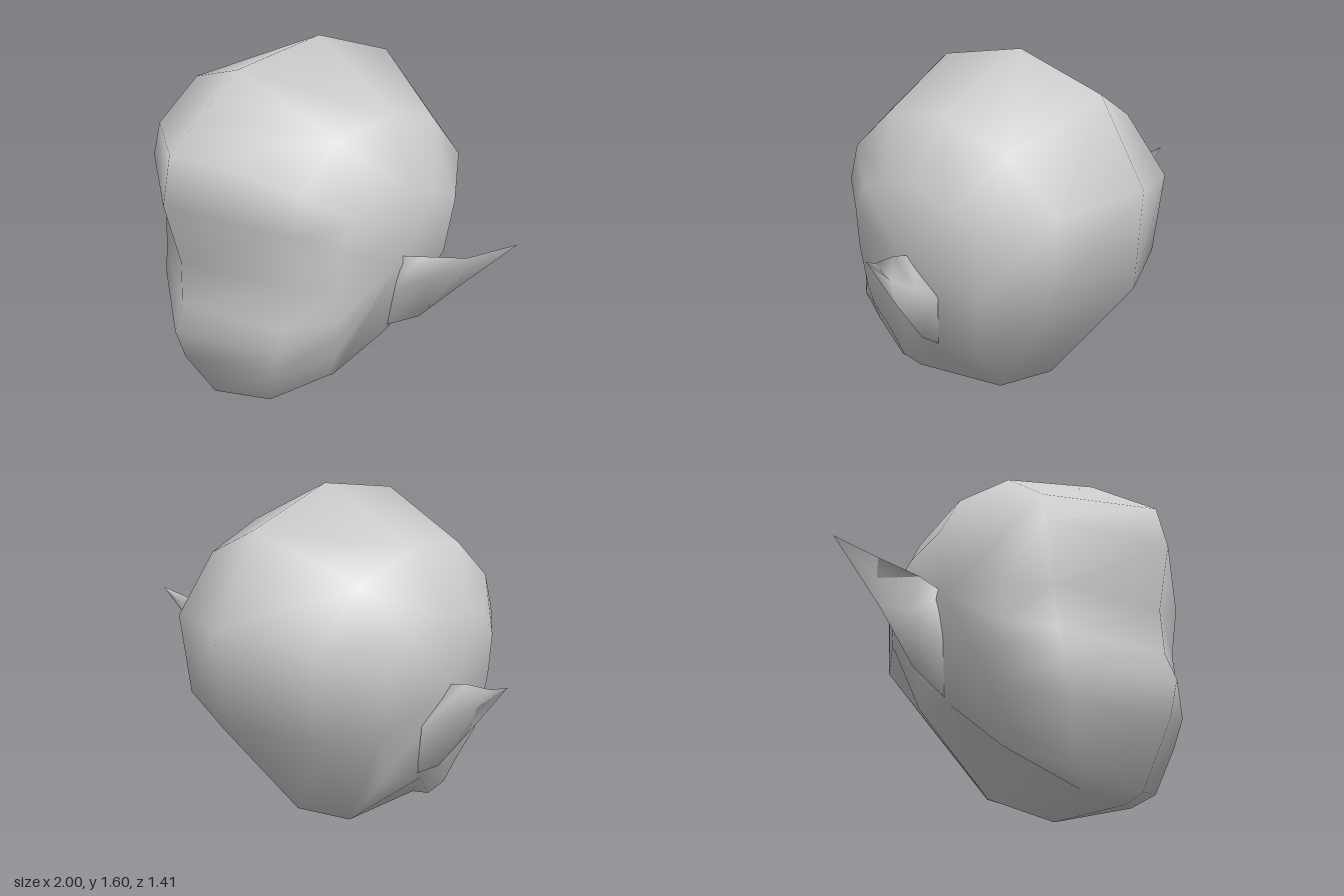
import * as THREE from 'three';
import { mergeVertices } from 'three/addons/utils/BufferGeometryUtils.js';

const skin = new THREE.MeshStandardMaterial({ color: 0xcccccc, side: THREE.DoubleSide });
skin.name = 'plainGrey';

// Joins closed cross-sections, ordered from -x to +x, into one smooth skin
function loft(sections, skip = () => false) {
  const pos = [];
  for (let k = 0; k < sections.length - 1; k++) {
    const p = sections[k], q = sections[k + 1], n = p.length;
    for (let i = 0; i < n; i++) {
      if (skip(k, i)) continue;
      const j = (i + 1) % n;
      for (const tri of [[p[i], q[i], q[j]], [p[i], q[j], p[j]]]) {
        const [a, b, c] = tri.map((v) => v.join());
        if (a !== b && b !== c && a !== c) pos.push(...tri.flat());
      }
    }
  }
  const geo = new THREE.BufferGeometry();
  geo.setAttribute('position', new THREE.Float32BufferAttribute(pos, 3));
  const merged = mergeVertices(geo, 1e-4);
  merged.computeVertexNormals();
  return merged;
}

const flip = (section) => section.map(([x, y, z]) => [-x, y, z]);
const mirror = (sections) => sections.map(flip).reverse();

function part(name, geometry) {
  const mesh = new THREE.Mesh(geometry, skin);
  mesh.name = name;
  return mesh;
}

// Middle outline: chin, face, crown, back of the skull, neck
const middle = [
  [0, 0.02, 0.44], [0, 0.055, 0.52], [0, 0.32, 0.66], [0, 0.47, 0.70], [0, 0.59, 0.655],
  [0, 0.79, 0.645], [0, 1.07, 0.705], [0, 1.275, 0.66], [0, 1.54, 0.33], [0, 1.6, -0.09],
  [0, 1.46, -0.49], [0, 1.11, -0.705], [0, 0.69, -0.685], [0, 0.16, -0.28], [0, 0.005, 0.09],
];
// Outline through cheek and brow corner; its last two points meet at the neck opening
const cheek = [
  [0.16, 0.05, 0.36], [0.27, 0.12, 0.41], [0.36, 0.33, 0.46], [0.42, 0.48, 0.48], [0.43, 0.6, 0.46],
  [0.44, 0.8, 0.44], [0.49, 1.05, 0.45], [0.47, 1.2, 0.42], [0.46, 1.37, 0.22], [0.46, 1.39, -0.07],
  [0.42, 1.29, -0.36], [0.39, 1.06, -0.58], [0.39, 0.70, -0.54], [0.17, 0.1, -0.12], [0.17, 0.1, -0.12],
];
// Outline around the side of the head
const temple = [
  [0.40, 0.21, 0.16], [0.44, 0.26, 0.22], [0.50, 0.41, 0.24], [0.55, 0.54, 0.28], [0.57, 0.64, 0.29],
  [0.59, 0.8, 0.3], [0.60, 0.98, 0.3], [0.59, 1.08, 0.25], [0.60, 1.13, 0.12], [0.60, 1.14, -0.04],
  [0.585, 1.08, -0.22], [0.57, 0.97, -0.36], [0.55, 0.72, -0.34], [0.46, 0.44, -0.25], [0.50, 0.40, -0.04],
];
const side = middle.map(() => [0.62, 0.82, 0.02]);

// Ear sections from root to tip: upper edge, back, lower edge, front hollow
const ear = [
  [[0.58, 0.84, 0.0], [0.56, 0.68, -0.12], [0.50, 0.43, -0.06], [0.56, 0.66, -0.01]],
  [[0.70, 0.88, -0.03], [0.69, 0.76, -0.125], [0.64, 0.53, -0.105], [0.69, 0.75, -0.08]],
  [[0.86, 0.92, -0.10], [0.84, 0.86, -0.155], [0.80, 0.74, -0.14], [0.835, 0.85, -0.13]],
  Array(4).fill([1, 1, -0.215]),
];

export function createModel() {
  const group = new THREE.Group();
  group.name = 'elfHead';
  const half = [cheek, temple, side];
  // The quad under the skull stays open for the neck
  const neckOpening = (k, i) => i === 13 && (k === 2 || k === 3);
  group.add(part('head', loft([...mirror(half), middle, ...half], neckOpening)));
  group.add(part('leftEar', loft(ear)));
  group.add(part('rightEar', loft(mirror(ear))));
  return group;
}
